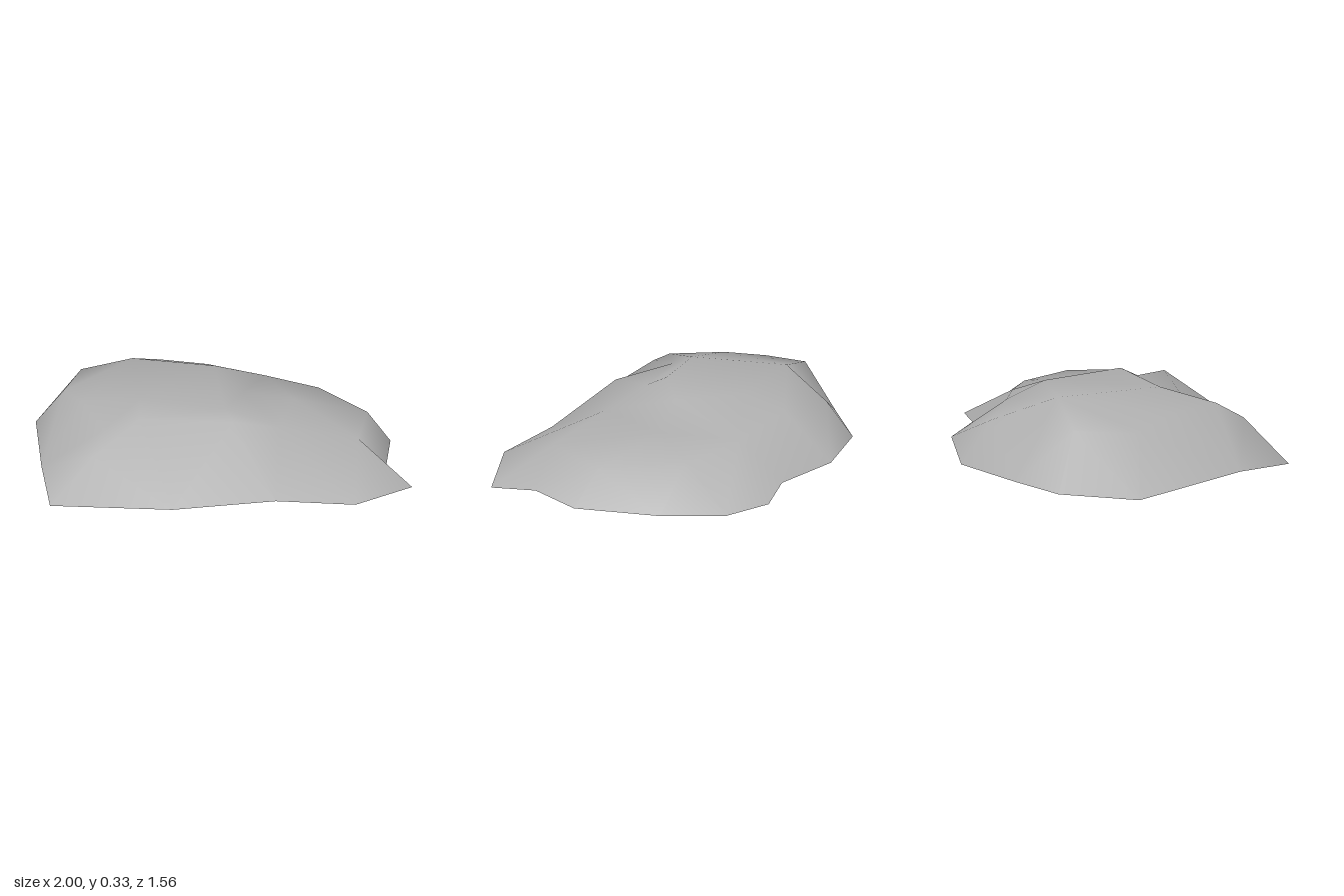
import * as THREE from 'three';

// Ground outline of the rock, in order: x, y, z
const RIM = [
  [-0.57, 0.03, -0.67], [-0.21, 0.05, -0.77], [0.09, 0.04, -0.71], [0.28, 0.04, -0.78],
  [0.45, 0.02, -0.69], [0.63, 0.01, -0.48], [0.87, 0.04, -0.21], [0.87, 0.02, 0.06],
  [1.0, 0.03, 0.21], [0.77, 0.04, 0.45], [0.43, 0.04, 0.52], [0.01, 0.03, 0.7],
  [-0.54, 0, 0.78], [-0.72, 0.03, 0.52], [-1, 0.02, 0.07], [-0.95, 0.03, -0.24], [-0.8, 0.03, -0.42],
];

// Ridges, troughs and shoulders inside the outline
const CREST = [
  [0.04, 0.33, 0.06], [-0.55, 0.32, -0.25], [-0.1, 0.3, -0.32], [-0.32, 0.31, 0.22],
  [-0.28, 0.255, 0.33], [0.09, 0.28, 0.15], [0.12, 0.27, -0.08],
  [0.17, 0.29, 0.3], [-0.4, 0.25, 0.47], [-0.4, 0.18, 0.6],
  [-0.83, 0.25, -0.18], [-0.81, 0.23, 0.08], [-0.62, 0.26, 0.24],
  [0.36, 0.22, 0.16], [0.73, 0.185, 0.1], [0.74, 0.18, -0.22], [0.36, 0.215, -0.2],
  [0.45, 0.18, -0.46], [0.14, 0.2, -0.5], [-0.2, 0.23, -0.5], [-0.5, 0.21, -0.54],
];

function inOutline(x, z) {
  let inside = false;
  RIM.forEach(([ax, , az], i) => {
    const [bx, , bz] = RIM[(i + 1) % RIM.length];
    if ((az > z) !== (bz > z) && x < ax + ((z - az) / (bz - az)) * (bx - ax)) inside = !inside;
  });
  return inside;
}

const area = (a, b, c) => (b[2] - a[2]) * (c[0] - a[0]) - (b[0] - a[0]) * (c[2] - a[2]);

function inCircle(p, a, b, c) {
  const [u, v, w] = [a, b, c].map((q) => [q[0] - p[0], q[2] - p[2]]);
  const s = (q) => q[0] * q[0] + q[1] * q[1];
  const cross = (m, n) => m[0] * n[1] - m[1] * n[0];
  const det = s(u) * cross(v, w) - s(v) * cross(u, w) + s(w) * cross(u, v);
  return det * area(a, b, c) < 0;
}

// Delaunay net over the points, seen from above
function triangulate(points) {
  const n = points.length;
  const all = [...points, [-90, 0, -70], [95, 0, -75], [3, 0, 110]];
  let tris = [[n, n + 1, n + 2]];
  for (let i = 0; i < n; i++) {
    const edges = new Map();
    tris = tris.filter((t) => {
      if (!inCircle(all[i], ...t.map((k) => all[k]))) return true;
      t.forEach((a, k) => {
        const b = t[(k + 1) % 3];
        const key = Math.min(a, b) + '_' + Math.max(a, b);
        if (edges.has(key)) edges.delete(key);
        else edges.set(key, [a, b]);
      });
      return false;
    });
    for (const [a, b] of edges.values()) tris.push([a, b, i]);
  }
  return tris
    .filter((t) => t.every((k) => k < n))
    .filter((t) => {
      const mid = (axis) => t.reduce((sum, k) => sum + all[k][axis], 0) / 3;
      return inOutline(mid(0), mid(2));
    })
    .map(([a, b, c]) => (area(all[a], all[b], all[c]) > 0 ? [a, b, c] : [a, c, b]));
}

export function createModel() {
  const group = new THREE.Group();
  group.name = 'flatRock';

  const stone = new THREE.MeshStandardMaterial({ color: 0xb0b0b0, side: THREE.DoubleSide });
  stone.name = 'stone grey';

  // Open, smoothly shaded rock shell
  const points = [...RIM, ...CREST];
  const geometry = new THREE.BufferGeometry();
  geometry.setAttribute('position', new THREE.Float32BufferAttribute(points.flat(), 3));
  geometry.setIndex(triangulate(points).flat());
  geometry.computeVertexNormals();

  const rock = new THREE.Mesh(geometry, stone);
  rock.name = 'rockShell';
  group.add(rock);
  return group;
}
